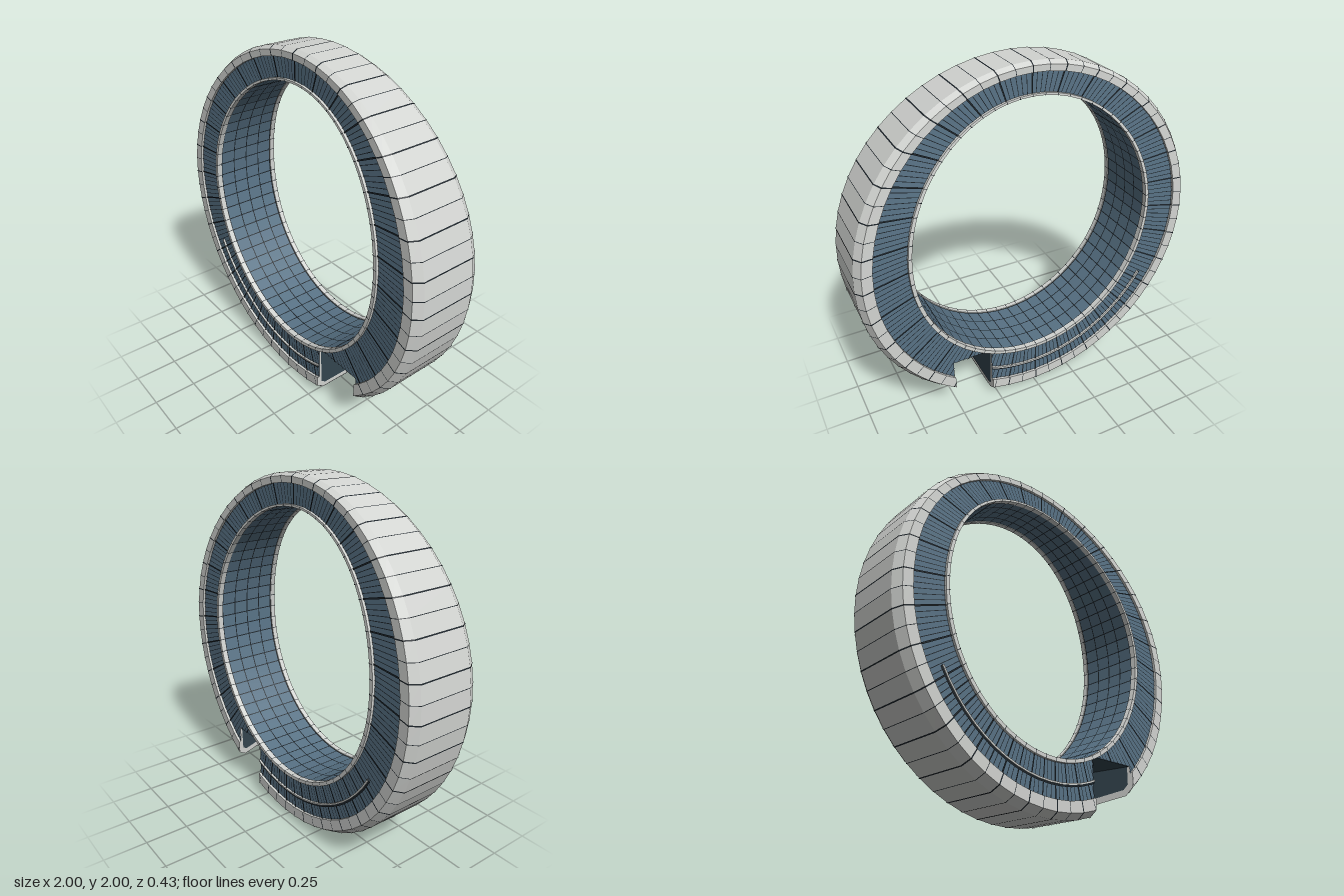
import * as THREE from 'three';

const TAU = Math.PI * 2;
const mat = (name, color) => {
  const m = new THREE.MeshStandardMaterial({ color, side: THREE.DoubleSide });
  m.name = name;
  return m;
};

// Gap in the lower part of the ring: below GAP_TOP, between GAP_LEFT and a slanted plane
const GAP_TOP = 0.36, GAP_LEFT = 0.29;
const gapRight = z => 0.565 + 0.2 * z;

// Point of the ring: u = 0 on the outer circle, u = 1 on the inner ellipse
function ringPoint(a, u, z) {
  const c = Math.cos(a), s = Math.sin(a);
  return new THREE.Vector3((1 - 0.29 * u) * c, (1 - u) * (1 + s) + u * (1.065 + 0.765 * s), z);
}

// Half depth of the ring, narrowing towards the top
function halfDepth(a) {
  const k = Math.max(0, (Math.sin(a) + 0.1) / 1.1);
  return 0.213 - 0.075 * k * k;
}

// Split a convex polygon by a signed distance function
function split(poly, f) {
  const pos = [], neg = [];
  poly.forEach((p, i) => {
    const q = poly[(i + 1) % poly.length], a = f(p), b = f(q);
    (a >= 0 ? pos : neg).push(p);
    if ((a >= 0) !== (b >= 0)) {
      const m = p.clone().lerp(q, a / (a - b));
      pos.push(m);
      neg.push(m);
    }
  });
  return [pos, neg];
}

// Pieces of a polygon that lie outside the gap
function outsideGap(poly) {
  if (poly.every(p => p.x < GAP_LEFT || p.y > GAP_TOP)) return [poly];
  const [above, below] = split(poly, p => p.y - GAP_TOP);
  const [left, rest] = split(below, p => GAP_LEFT - p.x);
  const [right] = split(rest, p => p.x - gapRight(p.z));
  return [above, left, right];
}

// Flat shaded mesh from convex polygons
function polyMesh(name, polys, material) {
  const pos = [];
  for (const p of polys)
    for (let i = 1; i < p.length - 1; i++)
      for (const v of [p[0], p[i], p[i + 1]]) pos.push(v.x, v.y, v.z);
  const g = new THREE.BufferGeometry();
  g.setAttribute('position', new THREE.Float32BufferAttribute(pos, 3));
  g.computeVertexNormals();
  const m = new THREE.Mesh(g, material);
  m.name = name;
  return m;
}

// Carry a profile (w, t) => [[u, z], ...] along angle spans; w half depth, t thickness
function sweep(profile, spans, closed = false) {
  const section = a => {
    const t = ringPoint(a, 0, 0).distanceTo(ringPoint(a, 1, 0));
    return profile(halfDepth(a), t).map(([u, z]) => ringPoint(a, u, z));
  };
  const polys = [];
  for (const [a0, a1] of spans) {
    const A = section(a0), B = section(a1);
    for (let i = 0; i < A.length - (closed ? 0 : 1); i++) {
      const j = (i + 1) % A.length;
      polys.push(...outsideGap([A[i], B[i], B[j], A[j]]));
    }
  }
  return polys;
}

const arc = (from, to, n) => Array.from({ length: n }, (_, i) =>
  [from + (to - from) * i / n, from + (to - from) * (i + 1) / n]);
const ticks = (n, width) => Array.from({ length: n }, (_, i) =>
  [TAU * i / n - width / 2, TAU * i / n + width / 2]);

export function createModel() {
  const white = mat('pale panel', 0xd2d4d1);
  const blue = mat('slate blue', 0x587285);
  const dark = mat('dark seam', 0x1d252b);
  const navy = mat('shadow blue', 0x34454f);
  const group = new THREE.Group();
  const add = (name, polys, m) => group.add(polyMesh(name, polys, m));
  const full = arc(0, TAU, 64);

  // Outer shell, a channel with chamfered edges
  add('outerShell', sweep((w, t) => {
    const c = w - 0.16 * t, i = w - 0.03;
    return [[0.3, i], [0.3, w], [0.1, w], [0, c], [0, -c], [0.1, -w], [0.3, -w], [0.3, -i], [0.1, -i], [0.1, i]];
  }, full, true), white);

  // Panel seams over the shell
  const seam = (w, t) => {
    const e = w + 0.002, c = w - 0.16 * t;
    return [[0.3, e], [0.1, e], [-0.007, c], [-0.007, -c], [0.1, -e], [0.3, -e]];
  };
  add('shellSeams', sweep(seam, [...ticks(64, 0.0035), ...ticks(32, 0.007)]), dark);

  // Inner floor with its grid
  add('innerFloor', sweep(w => [[0.98, w - 0.02], [0.98, 0.02 - w]], full), blue);
  add('floorCrossLines', sweep(w => [[0.988, w - 0.03], [0.988, 0.03 - w]], ticks(64, 0.008)), dark);
  for (const f of [-0.84, -0.42, 0, 0.42, 0.84])
    add('floorLongLine', sweep(w => [[0.986, f * w - 0.003], [0.986, f * w + 0.003]], full), dark);

  // Front and back faces
  for (const s of [1, -1]) {
    const side = s > 0 ? 'front' : 'back';
    const flat = (u0, u1, d) => w => [[u0, s * (w - d)], [u1, s * (w - d)]];
    add(side + 'Facade', sweep(flat(0.28, 0.98, 0.015), full), blue);
    add(side + 'FacadeFineLines', sweep(flat(0.3, 0.93, 0.012), ticks(192, 0.0045)), dark);
    add(side + 'FacadeRibs', sweep(flat(0.3, 0.94, 0.009), ticks(32, 0.011)), dark);
    add(side + 'InnerRim', sweep(w => [[0.93, s * (w - 0.03)], [0.93, s * w], [1, s * w], [1, s * (w - 0.03)]],
      full, true), white);
    add(side + 'RimSeams', sweep(w => [[0.93, s * (w + 0.002)], [1.004, s * (w + 0.002)], [1.004, s * (w - 0.03)]],
      ticks(64, 0.005)), dark);

    // Ledge along the lower facade
    const from = TAU * 210.5 / 360, to = TAU * 303.75 / 360;
    const lower = arc(from, to, 18);
    add(side + 'Ledge', sweep(w => [[0.565, s * (w - 0.03)], [0.565, s * (w - 0.003)], [0.595, s * (w - 0.003)],
      [0.595, s * (w - 0.03)]], lower, true), white);
    add(side + 'LedgeShadow', sweep(flat(0.53, 0.565, 0.008), lower), dark);
    add(side + 'LowerRibs', sweep(flat(0.3, 0.93, 0.01), ticks(64, 0.008).filter(([a]) => a > from && a < to)), dark);
  }

  // End walls of the gap: pale edge with a dark blue bulkhead in front
  const endWall = (cut, rows) => {
    const edges = rows.map(([u, h]) => [h, -h].map(z => {
      const x = cut(z);
      return ringPoint(-Math.acos(x / (1 - 0.29 * u)), u, z).setX(x);
    }));
    return edges.slice(1).map((e, i) => [edges[i][0], edges[i][1], e[1], e[0]]);
  };
  const edgeRows = [[0, 0.166], [0.1, 0.212], [0.3, 0.212], [0.3, 0.197], [0.97, 0.197]];
  const coreRows = [[0.1, 0.155], [0.16, 0.182], [0.97, 0.19]];
  add('leftEndEdge', endWall(() => GAP_LEFT, edgeRows), white);
  add('leftBulkhead', endWall(() => GAP_LEFT + 0.003, coreRows), navy);
  add('rightEndEdge', endWall(gapRight, edgeRows), white);
  add('rightBulkhead', endWall(z => gapRight(z) - 0.003, coreRows), navy);

  // Underside of the strip bridging the gap
  const h = 0.196;
  add('gapCeiling', [[[GAP_LEFT, h], [GAP_LEFT, -h], [gapRight(-h), -h], [gapRight(h), h]]
    .map(([x, z]) => new THREE.Vector3(x, GAP_TOP, z))], navy);

  return group;
}
